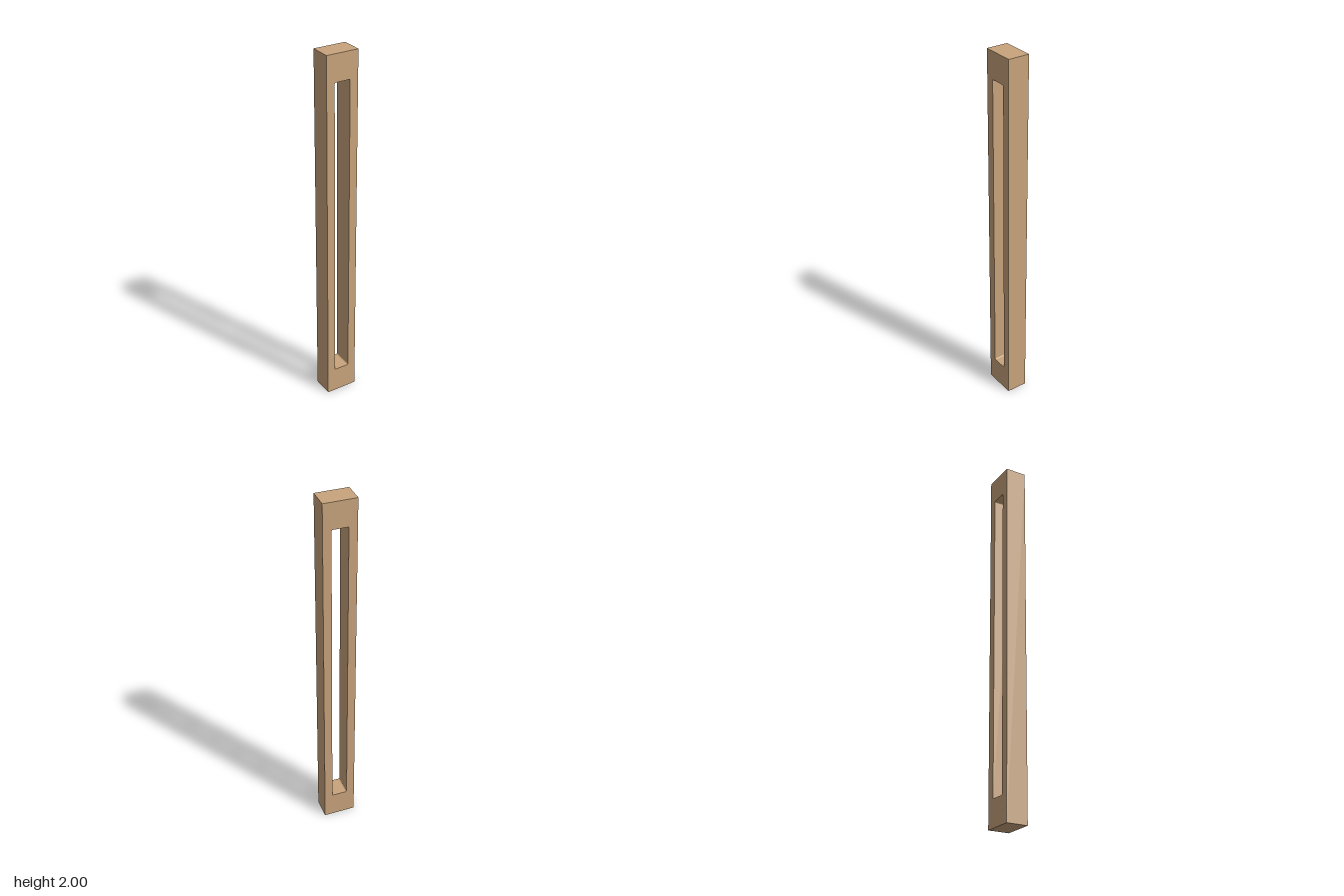
import * as THREE from 'three';

const WIDTH = 0.177, HEIGHT = 2, DEPTH = 0.116;
const SLOT_WIDTH = 0.087, SLOT_BOTTOM = 0.145, SLOT_TOP = 1.857, SLOT_RADIUS = 0.007;

// Rectangular opening with slightly rounded corners
function roundedSlot(x0, y0, x1, y1, r) {
  const p = new THREE.Path();
  p.absarc(x1 - r, y1 - r, r, 0, Math.PI / 2);
  p.absarc(x0 + r, y1 - r, r, Math.PI / 2, Math.PI);
  p.absarc(x0 + r, y0 + r, r, Math.PI, Math.PI * 1.5);
  p.absarc(x1 - r, y0 + r, r, Math.PI * 1.5, Math.PI * 2);
  p.closePath();
  return p;
}

export function createModel() {
  const model = new THREE.Group();
  model.name = 'slottedPost';

  // Post outline with one long slot cut straight through
  const outline = new THREE.Shape();
  outline.moveTo(-WIDTH / 2, 0);
  outline.lineTo(WIDTH / 2, 0);
  outline.lineTo(WIDTH / 2, HEIGHT);
  outline.lineTo(-WIDTH / 2, HEIGHT);
  outline.closePath();
  outline.holes.push(
    roundedSlot(-SLOT_WIDTH / 2, SLOT_BOTTOM, SLOT_WIDTH / 2, SLOT_TOP, SLOT_RADIUS)
  );

  const geometry = new THREE.ExtrudeGeometry(outline, {
    depth: DEPTH, bevelEnabled: false, curveSegments: 6,
  });
  geometry.translate(0, 0, -DEPTH / 2);

  const post = new THREE.Mesh(geometry, new THREE.MeshStandardMaterial({ color: 0xc8a47c }));
  post.name = 'post';
  post.rotation.y = Math.PI / 6; // the post stands turned by 30 degrees
  model.add(post);
  return model;
}
